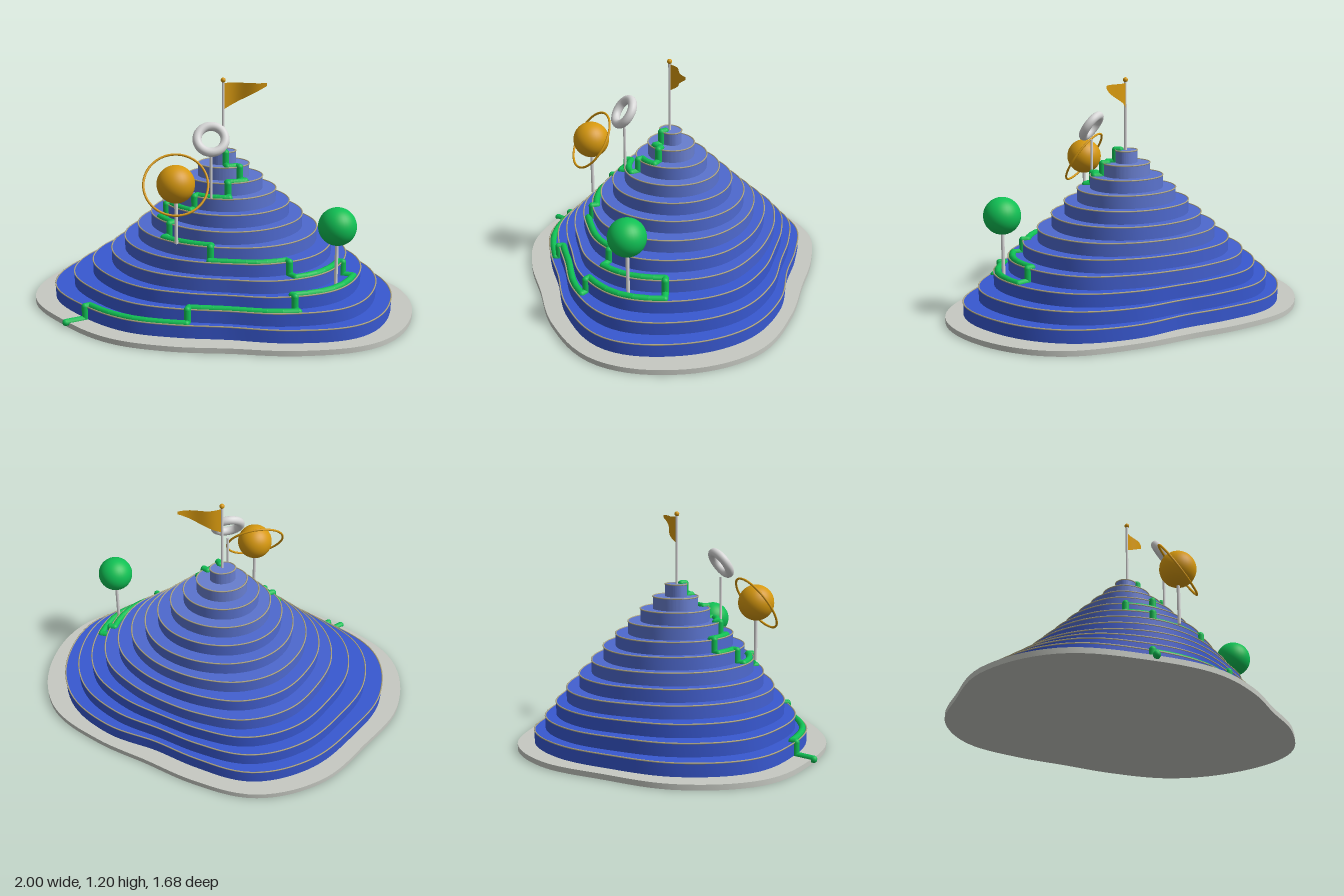
import * as THREE from 'three';
import { mergeGeometries, toCreasedNormals } from 'three/addons/utils/BufferGeometryUtils.js';

const CX = 0.02, CZ = 0.04;            // summit position
const COUNT = 12, BASE_TOP = 0.027, STEP = 0.0657;
const topOf = (k) => BASE_TOP + STEP * k;
const rad = THREE.MathUtils.degToRad;

// Radii every 22.5 degrees (from +x toward +z) for the plinth and key terraces
const PLINTH = [0.965, 1.02, 1.005, 0.86, 0.75, 0.765, 0.835, 0.9, 1.01, 0.995, 0.91, 0.915, 0.88, 0.78, 0.74, 0.82];
const KEYS = [
  [1, [0.86, 0.91, 0.91, 0.765, 0.65, 0.658, 0.73, 0.8, 0.9, 0.89, 0.825, 0.82, 0.79, 0.69, 0.655, 0.75]],
  [4, [0.64, 0.66, 0.66, 0.605, 0.53, 0.52, 0.545, 0.57, 0.595, 0.605, 0.6, 0.62, 0.61, 0.565, 0.55, 0.58]],
  [7, [0.42, 0.42, 0.41, 0.4, 0.385, 0.37, 0.36, 0.365, 0.38, 0.385, 0.395, 0.4, 0.395, 0.39, 0.395, 0.41]],
  [12, [0.067, 0.064, 0.06, 0.057, 0.055, 0.057, 0.062, 0.067, 0.07, 0.067, 0.062, 0.057, 0.055, 0.057, 0.06, 0.064]],
];

// Radii of terrace k (0 is the plinth)
function radiiOf(k) {
  if (k === 0) return PLINTH;
  let i = 0;
  while (i < KEYS.length - 2 && k > KEYS[i + 1][0]) i++;
  const [k0, a] = KEYS[i], [k1, b] = KEYS[i + 1];
  return a.map((r, j) => THREE.MathUtils.lerp(r, b[j], (k - k0) / (k1 - k0)));
}

// Smooth periodic radius at an angle in degrees
function radiusAt(k, deg) {
  const r = radiiOf(k), n = r.length;
  const u = deg / 22.5, i = Math.floor(u), t = u - i;
  const [a, b, c, d] = [-1, 0, 1, 2].map((o) => r[(i + o + n) % n]);
  return b + 0.5 * t * (c - a + t * (2 * a - 5 * b + 4 * c - d + t * (3 * (b - c) + d - a)));
}

const polar = (r, deg, y) => new THREE.Vector3(CX + r * Math.cos(rad(deg)), y, CZ + r * Math.sin(rad(deg)));

function outline(k, y) {
  const pts = [];
  for (let a = 0; a < 360; a += 3) pts.push(polar(radiusAt(k, a), a, y));
  return pts;
}

// Flat slab with the outline of terrace k
function slab(k, y0, y1) {
  const shape = new THREE.Shape(outline(k, 0).map((p) => new THREE.Vector2(p.x, -p.z)));
  const g = new THREE.ExtrudeGeometry(shape, { depth: y1 - y0, bevelEnabled: false });
  g.rotateX(-Math.PI / 2).translate(0, y0, 0);
  return toCreasedNormals(g, 0.6);
}

// Round pipe through points, with ball joints at the bends
function pipe(pts, r) {
  const parts = [];
  pts.forEach((p, i) => {
    parts.push(new THREE.SphereGeometry(r, 10, 8).translate(p.x, p.y, p.z));
    if (i === 0) return;
    const dir = p.clone().sub(pts[i - 1]);
    const q = new THREE.Quaternion().setFromUnitVectors(new THREE.Vector3(0, 1, 0), dir.clone().normalize());
    const mid = p.clone().add(pts[i - 1]).multiplyScalar(0.5);
    parts.push(new THREE.CylinderGeometry(r, r, dir.length(), 10, 1, true).applyQuaternion(q).translate(mid.x, mid.y, mid.z));
  });
  return mergeGeometries(parts);
}

export function createModel() {
  const model = new THREE.Group();
  model.name = 'terracedHill';
  const material = (name, color, side = THREE.FrontSide) => {
    const m = new THREE.MeshStandardMaterial({ color, side });
    m.name = name;
    return m;
  };
  const blues = [0x3858d0, 0x4360d0, 0x4e69ce, 0x5a73ce, 0x687ece].map((c, i) => material(`blue${i + 1}`, c));
  const stone = material('stoneGrey', 0xc6c9c2);
  const sand = material('contourSand', 0xb0a888);
  const green = material('trailGreen', 0x10c054);
  const gold = material('gold', 0xd6980f, THREE.DoubleSide);
  const white = material('paleGrey', 0xd8d8d8);

  const add = (name, geometry, mat, x = 0, y = 0, z = 0, parent = model) => {
    const mesh = new THREE.Mesh(geometry, mat);
    mesh.name = name;
    mesh.position.set(x, y, z);
    parent.add(mesh);
    return mesh;
  };
  const pole = (name, x, z, y0, y1, r) =>
    add(name, new THREE.CylinderGeometry(r, r, y1 - y0, 12), white, x, (y0 + y1) / 2, z);

  // Plinth and stacked terraces, each with a thin contour line on its rim
  add('plinth', slab(0, 0, BASE_TOP), stone);
  for (let k = 1; k <= COUNT; k++) {
    add(`terrace${k}`, slab(k, topOf(k - 1), topOf(k)), blues[Math.floor(((k - 1) * 5) / COUNT)]);
    const rim = new THREE.CatmullRomCurve3(outline(k, topOf(k)), true);
    add(`contour${k}`, new THREE.TubeGeometry(rim, 120, 0.004, 5, true), sand);
  }

  // Trail: runs along each rim, then climbs to the next terrace at these angles
  const climbs = [155, 110, 63, 27, 58, 102, 142, 164, 130, 86, 53, 80];
  const trail = [polar(0.9, 155, BASE_TOP)];
  climbs.forEach((a, k) => {
    const edge = radiusAt(k + 1, a) + 0.004;
    trail.push(polar(edge, a, topOf(k)), polar(edge, a, topOf(k + 1)));
    trail.push(polar(edge - 0.026, a, topOf(k + 1)));
    if (k + 1 === COUNT) return;
    const next = climbs[k + 1], n = Math.ceil(Math.abs(next - a) / 6);
    for (let i = 1; i <= n; i++) {
      const b = a + ((next - a) * i) / n;
      trail.push(polar(radiusAt(k + 1, b) - 0.022, b, topOf(k + 1)));
    }
  });
  add('trail', pipe(trail, 0.018), green);

  // Summit flag
  pole('flagPole', CX, 0.045, topOf(COUNT), 1.185, 0.007);
  add('flagFinial', new THREE.SphereGeometry(0.013, 16, 12), gold, CX, 1.187, 0.045);
  const flag = new THREE.PlaneGeometry(1, 1, 20, 2);
  const p = flag.attributes.position;
  for (let i = 0; i < p.count; i++) {
    const t = p.getX(i) + 0.5, v = 0.5 - p.getY(i);
    p.setXYZ(i, 0.005 + 0.22 * t, -v * (0.137 - 0.122 * t), 0.02 * t * t - 0.011 * Math.sin(2 * Math.PI * t));
  }
  flag.computeVertexNormals();
  add('flag', flag, gold, CX, 1.172, 0.043);

  // Green ball marker
  pole('ballPole', 0.55, 0.51, topOf(3), 0.5, 0.009);
  add('greenBall', new THREE.SphereGeometry(0.095, 32, 24), green, 0.55, 0.533, 0.51);

  // Gold ball with a tilted hoop
  pole('hoopBallPole', -0.235, 0.39, topOf(6), 0.7, 0.009);
  add('goldBall', new THREE.SphereGeometry(0.095, 32, 24), gold, -0.235, 0.728, 0.39);
  add('hoop', new THREE.TorusGeometry(0.159, 0.006, 10, 64), gold, -0.235, 0.725, 0.39).rotation.x = -0.59;

  // Pale tilted ring marker
  pole('ringPole', -0.055, 0.27, topOf(9), 0.85, 0.007);
  add('paleRing', new THREE.TorusGeometry(0.07, 0.023, 16, 48), white, -0.055, 0.925, 0.27).rotation.x = -0.6;

  return model;
}
